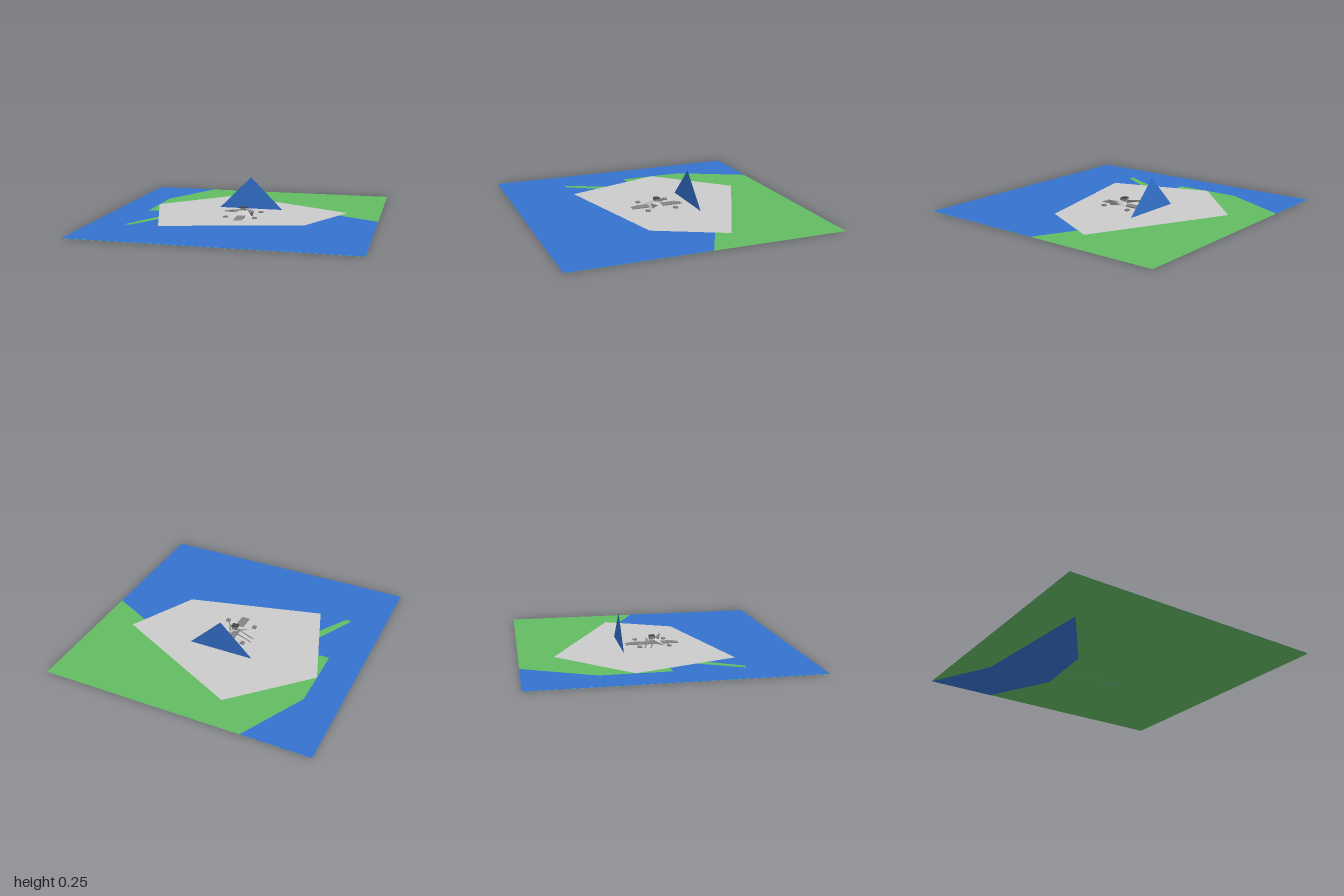
import * as THREE from 'three';
import { ConvexGeometry } from 'three/addons/geometries/ConvexGeometry.js';

const mat = (color) => new THREE.MeshStandardMaterial({ color, flatShading: true, side: THREE.DoubleSide });
const SEA = mat(0x3573ce), LAND = mat(0x63bc63), GREY = mat(0xcccccc), DARK = mat(0x858585), BLACK = mat(0x444444);

export function createModel() {
  const model = new THREE.Group();
  const add = (name, geometry, material, parent = model) => {
    const mesh = new THREE.Mesh(geometry, material);
    mesh.name = name;
    parent.add(mesh);
    return mesh;
  };
  // Horizontal sheet from [x, z] corners at height y
  const sheet = (name, corners, y, material) => {
    const shape = new THREE.Shape(corners.map(([x, z]) => new THREE.Vector2(x, -z)));
    add(name, new THREE.ShapeGeometry(shape).rotateX(-Math.PI / 2).translate(0, y, 0), material);
  };
  const hull = (name, points, material, parent) =>
    add(name, new ConvexGeometry(points.map((p) => new THREE.Vector3(...p))), material, parent);

  // Flat ground: land, sea with its coastline, and the paved plain
  const plain = [[-0.25, -0.75], [0.75, -0.25], [0.5, 0.25], [-0.5, 0.5], [-0.75, -0.25]];
  sheet('land', [[-1, -1], [1, -1], [1, 1], [-1, 1]], 0.001, LAND);
  sheet('sea', [[-1, -1], [-0.5, -1], [-0.75, -0.5], [-0.75, 0], [-0.5, 0], [-0.75, 0.5],
    [-0.71, 0.51], [-0.4, 0], [0, -0.5], [1, 0], [1, 1], [-1, 1]], 0.002, SEA);
  sheet('plain', plain, 0.003, GREY);
  // Underside of the river
  sheet('riverBed', [[-1, -1], [-0.5, -1], [-0.25, -0.5], [-0.3, 0], [-0.67, 0.54], [-0.75, -0.5]], 0, SEA);

  // Upright triangular peak
  const peak = new THREE.Shape([[-0.25, 0], [0.25, 0], [0, 0.25]].map((p) => new THREE.Vector2(...p)));
  add('peak', new THREE.ShapeGeometry(peak).translate(0, 0, -0.25), SEA);

  // Small station on the plain
  const station = new THREE.Group();
  station.name = 'station';
  model.add(station);

  // Raised strip with ramped ends
  const strip = new THREE.Shape([[-0.2, 0.003], [0.2, 0.003], [0.155, 0.012], [-0.155, 0.012]].map((p) => new THREE.Vector2(...p)));
  add('strip', new THREE.ExtrudeGeometry(strip, { depth: 0.06, bevelEnabled: false })
    .translate(0, 0, -0.03).rotateY(Math.PI / 2), DARK, station);

  // Corner pads
  for (const x of [-0.11, 0.11]) for (const z of [-0.11, 0.11]) {
    add('pad', new THREE.BoxGeometry(0.03, 0.012, 0.03), DARK, station).position.set(x, 0.008, z);
  }

  // Faceted body and two swept vanes
  hull('body', [[-0.09, 0.004, 0.08], [0.02, 0.004, 0.07], [0.085, 0.004, 0.075], [0.03, 0.004, -0.04],
    [-0.03, 0.04, 0], [0.03, 0.04, 0], [0, 0.045, 0.02]], GREY, station);
  for (const z of [0, 0.045]) {
    hull('vane', [[-0.165, 0.008, -0.085 + z], [-0.165, 0.012, -0.075 + z], [0.01, 0.045, -0.045 + z],
      [0.03, 0.035, -0.03 + z], [0, 0.03, -0.03 + z]], DARK, station);
  }
  hull('fin', [[0.1, 0.058, 0.085], [0.085, 0.01, 0.07], [0.04, 0.015, 0], [0.05, 0.015, 0.03]], DARK, station);

  // Lookout cabin with roof
  add('cabin', new THREE.BoxGeometry(0.04, 0.025, 0.04), DARK, station).position.y = 0.048;
  add('roof', new THREE.BoxGeometry(0.05, 0.005, 0.04), BLACK, station).position.y = 0.062;
  return model;
}
